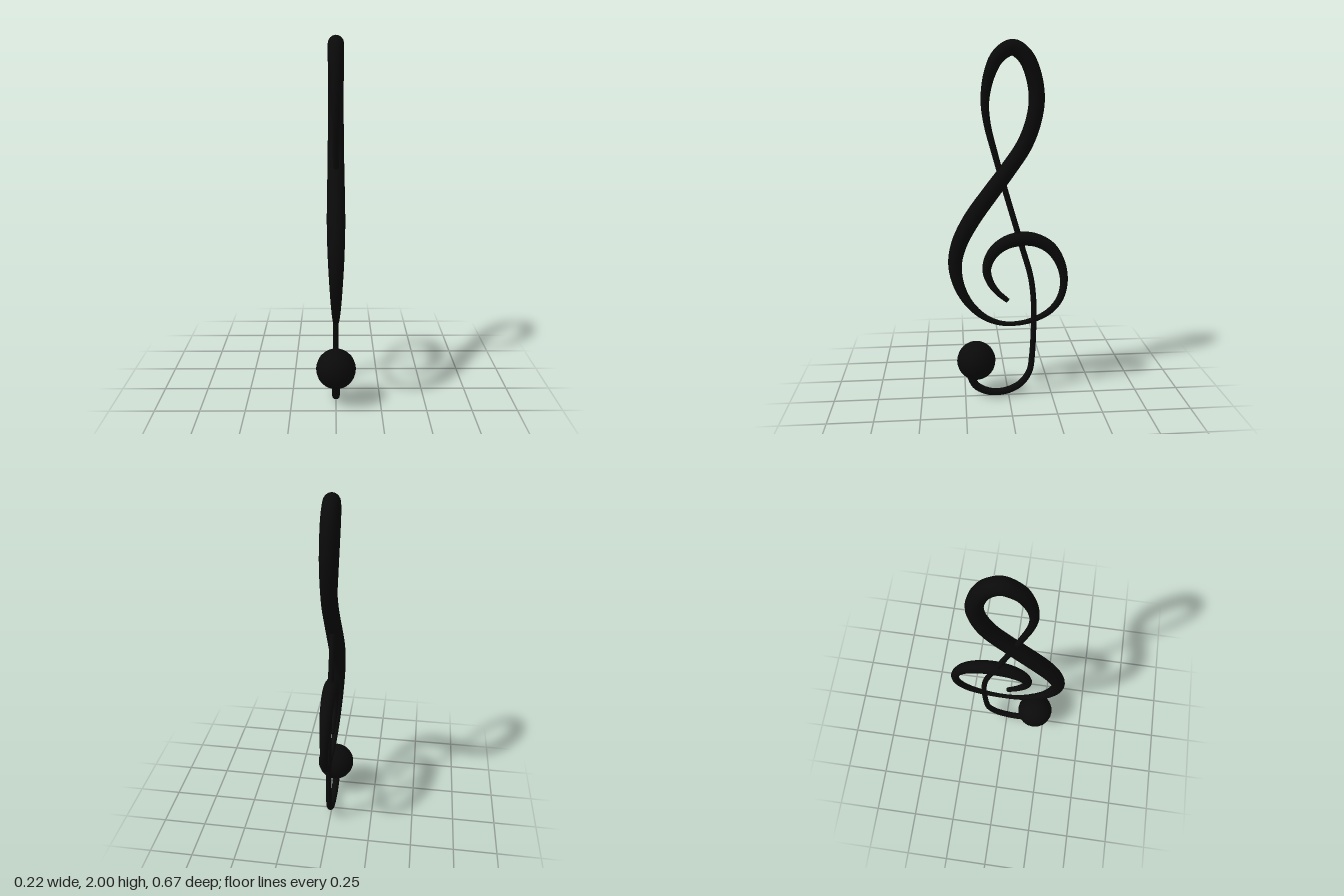
import * as THREE from 'three';

// Pen stroke through the clef: z, y, radius
const STROKE = [
  // tail hook
  0.223, 0.143, 0.024, 0.191, 0.069, 0.022, 0.122, 0.029, 0.021, 0.053, 0.022, 0.020,
  -0.021, 0.04, 0.020, -0.08, 0.08, 0.019, -0.122, 0.149, 0.018, -0.135, 0.239, 0.017,
  // stem
  -0.143, 0.414, 0.016, -0.143, 0.546, 0.016, -0.125, 0.711, 0.016, -0.074, 0.891, 0.016,
  0.027, 1.236, 0.016, 0.074, 1.406, 0.017, 0.114, 1.565, 0.019, 0.125, 1.687, 0.023,
  // upper loop
  0.101, 1.82, 0.031, 0.053, 1.915, 0.038, -0.021, 1.957, 0.042, -0.085, 1.915, 0.043,
  -0.127, 1.83, 0.043, -0.149, 1.703, 0.043, -0.133, 1.581, 0.043, -0.085, 1.454, 0.044,
  // sweep down to the belly
  0, 1.326, 0.045, 0.095, 1.199, 0.047, 0.202, 1.05, 0.048, 0.271, 0.918, 0.044,
  0.297, 0.801, 0.038, 0.279, 0.679, 0.031, 0.223, 0.568, 0.024, 0.138, 0.485, 0.018,
  0.048, 0.446, 0.014, -0.042, 0.44, 0.013, -0.138, 0.459, 0.015, -0.233, 0.509, 0.018,
  // inner spiral
  -0.292, 0.584, 0.020, -0.313, 0.684, 0.022, -0.292, 0.79, 0.027, -0.233, 0.881, 0.034,
  -0.149, 0.928, 0.038, -0.069, 0.936, 0.040, 0.021, 0.912, 0.037, 0.09, 0.854, 0.032,
  0.122, 0.769, 0.025, 0.106, 0.695, 0.021, 0.064, 0.631, 0.017, 0.005, 0.578, 0.014,
];

// Round tube of varying radius along a curve in the yz plane (curve x holds the radius)
function taperedTube(curve, steps, sides) {
  const rows = [[0, 0], [0, 1]];
  for (let i = 0; i <= steps; i++) rows.push([i / steps, 1]);
  rows.push([1, 1], [1, 0]); // doubled end rings keep the flat caps crisp

  const positions = [];
  const indices = [];
  const xAxis = new THREE.Vector3(1, 0, 0);
  rows.forEach(([t, scale], i) => {
    const p = curve.getPoint(t);
    const tangent = curve.getTangent(t).setX(0).normalize();
    const side = tangent.cross(xAxis);
    const radius = p.x * scale;
    for (let j = 0; j < sides; j++) {
      const a = (j / sides) * Math.PI * 2;
      const s = Math.sin(a) * radius;
      positions.push(Math.cos(a) * radius, p.y + side.y * s, p.z + side.z * s);
      if (i === rows.length - 1) continue;
      const k = (j + 1) % sides;
      const row = i * sides;
      const next = row + sides;
      indices.push(row + j, row + k, next + j, row + k, next + k, next + j);
    }
  });

  const geometry = new THREE.BufferGeometry();
  geometry.setAttribute('position', new THREE.Float32BufferAttribute(positions, 3));
  geometry.setIndex(indices);
  geometry.computeVertexNormals();
  return geometry;
}

export function createModel() {
  const group = new THREE.Group();
  group.name = 'trebleClef';
  const material = new THREE.MeshStandardMaterial({ color: 0x0a0a0a });

  // Continuous stroke
  const points = [];
  for (let i = 0; i < STROKE.length; i += 3) {
    points.push(new THREE.Vector3(STROKE[i + 2], STROKE[i + 1], STROKE[i]));
  }
  const stroke = new THREE.Mesh(taperedTube(new THREE.CatmullRomCurve3(points), 240, 16), material);
  stroke.name = 'clefStroke';
  group.add(stroke);

  // Ball at the end of the tail
  const ball = new THREE.Mesh(new THREE.SphereGeometry(0.11, 20, 14), material);
  ball.name = 'tailBall';
  ball.position.set(0, 0.223, 0.186);
  group.add(ball);

  return group;
}
